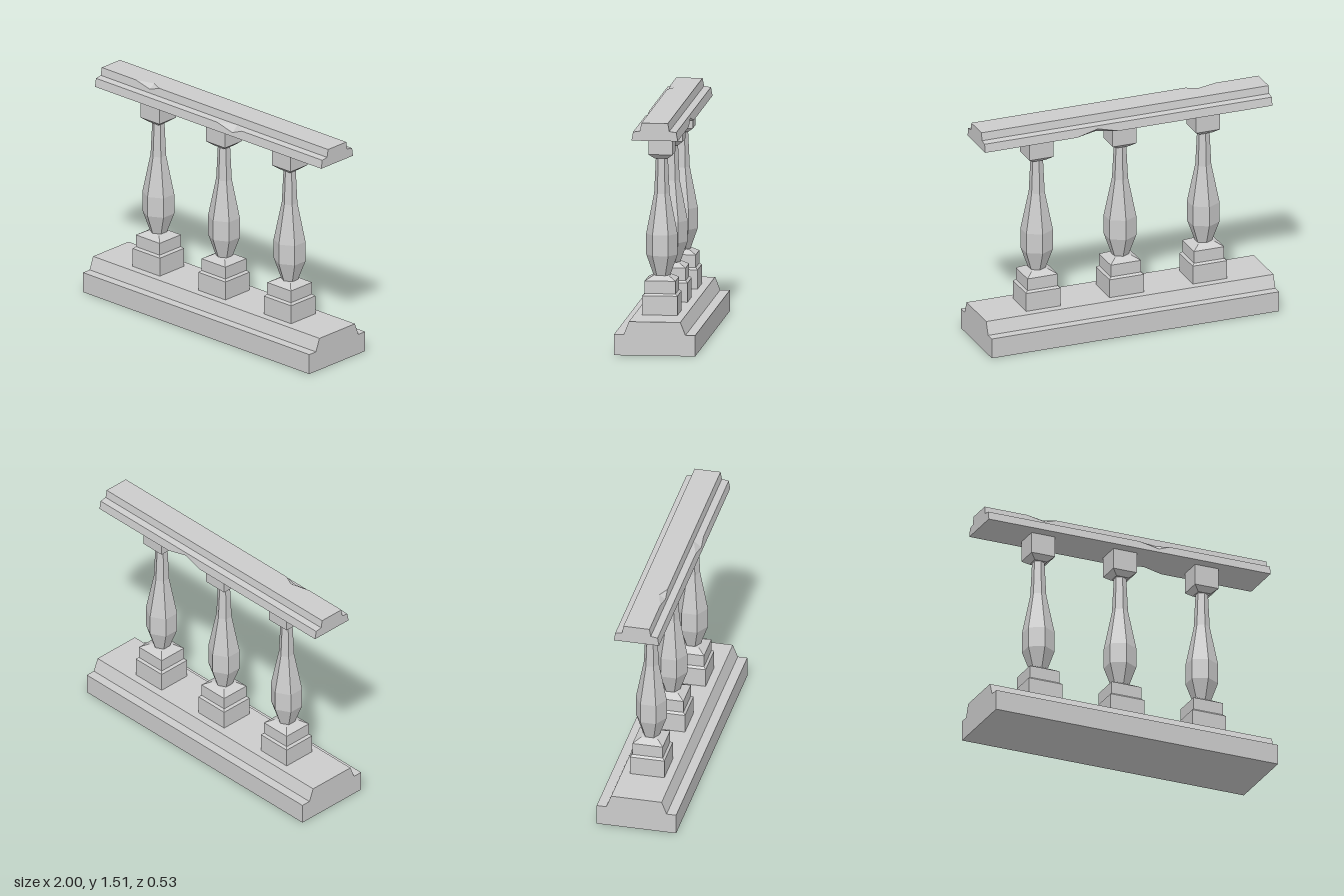
import * as THREE from 'three';

const material = new THREE.MeshStandardMaterial({ color: 0xcccccc, flatShading: true });

// Full [z, y] outline from its front half, listed bottom to top
const mirrored = (half) => [...half, ...half.map(([z, y]) => [-z, y]).reverse()];

// Sweeps an outline along x; outlineAt(x) may vary, the ends are closed
function sweep(name, stations, outlineAt) {
  const positions = [];
  const a = new THREE.Vector3(), b = new THREE.Vector3();
  const triangle = (p, q, r) => {
    a.subVectors(q, p);
    b.subVectors(r, p);
    if (a.cross(b).length() > 1e-9) for (const v of [p, q, r]) positions.push(v.x, v.y, v.z);
  };
  const quad = (p, q, r, s) => { triangle(p, q, r); triangle(p, r, s); };
  const rings = stations.map((x) => outlineAt(x).map(([z, y]) => new THREE.Vector3(x, y, z)));
  const n = rings[0].length;
  for (let s = 0; s < rings.length - 1; s++) {
    const r0 = rings[s], r1 = rings[s + 1];
    for (let i = 0; i < n; i++) {
      const j = (i + 1) % n;
      quad(r0[i], r1[i], r1[j], r0[j]);
    }
  }
  // End caps, as strips between the front and back halves
  const first = rings[0], last = rings[rings.length - 1];
  for (let i = 0; i < n / 2 - 1; i++) {
    const j = n - 1 - i;
    quad(first[i], first[i + 1], first[j - 1], first[j]);
    quad(last[j], last[j - 1], last[i + 1], last[i]);
  }
  const geometry = new THREE.BufferGeometry();
  geometry.setAttribute('position', new THREE.Float32BufferAttribute(positions, 3));
  geometry.computeVertexNormals();
  const mesh = new THREE.Mesh(geometry, material);
  mesh.name = name;
  return mesh;
}

// Faceted turned part from [half width, y] points
function turned(name, profile, sides) {
  const square = sides === 4;
  const k = square ? Math.SQRT2 : 1;
  const points = profile.map(([r, y]) => new THREE.Vector2(r * k, y));
  const geometry = new THREE.LatheGeometry(points, sides, square ? Math.PI / 4 : 0);
  const mesh = new THREE.Mesh(geometry, material);
  mesh.name = name;
  return mesh;
}

function createBaluster(x) {
  const group = new THREE.Group();
  group.name = 'baluster';
  group.add(
    turned('plinth', [[0, 0.22], [0.114, 0.22], [0.114, 0.345], [0.1, 0.358], [0.1, 0.44], [0.054, 0.467], [0, 0.467]], 4),
    turned('shaft', [[0.054, 0.465], [0.102, 0.6], [0.102, 0.735], [0.05, 1.0], [0.039, 1.235]], 6),
    turned('capital', [[0, 1.23], [0.042, 1.23], [0.079, 1.26], [0.079, 1.4], [0, 1.4]], 4),
  );
  group.position.x = x;
  group.scale.x = 1.05;
  return group;
}

// Rail outline: corners that may be chipped are listed twice
const railOutline = mirrored([
  [0.15, 1.4], [0.15, 1.4],
  [0.14, 1.456], [0.14, 1.456],
  [0.095, 1.463],
  [0.086, 1.515], [0.086, 1.515],
]);

// Each chip splits a doubled corner into two points at its middle station
const chips = [
  { x: [-0.7, -0.57, -0.49], corner: 5, to: [[0.091, 1.488], [0.05, 1.515]] },
  { x: [0.07, 0.21, 0.29], corner: 2, to: [[0.1455, 1.425], [0.094, 1.464]] },
  { x: [0.07, 0.21, 0.36], corner: 12, to: [[-0.143, 1.435], [-0.095, 1.4]] },
];

function railAt(x) {
  const outline = railOutline.map((p) => [...p]);
  for (const { x: [start, mid, end], corner, to } of chips) {
    const t = Math.max(0, x < mid ? (x - start) / (mid - start) : (end - x) / (end - mid));
    to.forEach((target, k) => {
      const p = outline[corner + k];
      p[0] += (target[0] - p[0]) * t;
      p[1] += (target[1] - p[1]) * t;
    });
  }
  return outline;
}

export function createModel() {
  const model = new THREE.Group();
  model.name = 'balustrade';

  // Stepped base with sloped upper sides
  const baseOutline = mirrored([[0.263, 0], [0.263, 0.136], [0.2, 0.136], [0.167, 0.22]]);
  model.add(sweep('base', [-1, 1], () => baseOutline));

  for (const x of [-0.58, 0, 0.58]) model.add(createBaluster(x));

  // Handrail with chipped edges
  const stations = [...new Set([-1, 1, ...chips.flatMap((c) => c.x)])].sort((p, q) => p - q);
  model.add(sweep('handrail', stations, railAt));
  return model;
}
